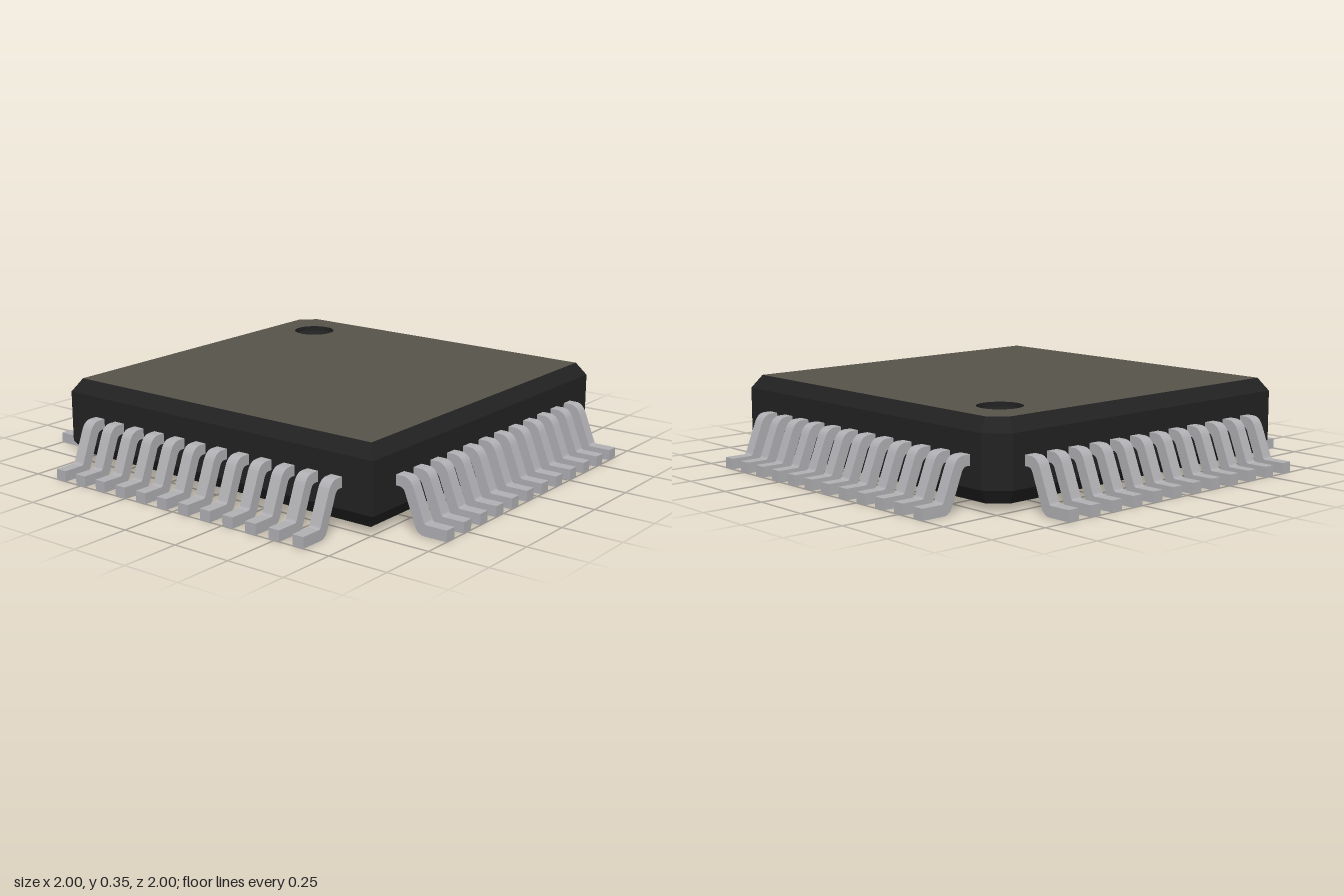
import * as THREE from 'three';

// Square outline with one cut corner at the back right; h = half width, c = where the cut starts
const ring = (h, c) => [[-h, h], [h, h], [h, -h], [-c, -h], [-h, -c]];

// Flat-shaded loft through stacked rings, closed at the bottom
function loft(levels) {
  const pos = [];
  const rings = levels.map(([y, h, c]) => ring(h, c).map(([x, z]) => [x, y, z]));
  const n = rings[0].length;
  for (let k = 0; k < rings.length - 1; k++) {
    for (let i = 0; i < n; i++) {
      const j = (i + 1) % n;
      const a = rings[k][i], b = rings[k][j], c = rings[k + 1][j], d = rings[k + 1][i];
      pos.push(...a, ...b, ...c, ...a, ...c, ...d);
    }
  }
  for (let i = 1; i < n - 1; i++) pos.push(...rings[0][0], ...rings[0][i + 1], ...rings[0][i]);
  const geo = new THREE.BufferGeometry();
  geo.setAttribute('position', new THREE.Float32BufferAttribute(pos, 3));
  geo.computeVertexNormals();
  return geo;
}

// Bent lead seen from the side, x pointing outward
function leadGeometry(width) {
  const s = new THREE.Shape();
  s.moveTo(0.765, 0.168);
  s.lineTo(0.79, 0.168);
  s.quadraticCurveTo(0.808, 0.168, 0.815, 0.15);
  s.lineTo(0.862, 0.03);
  s.quadraticCurveTo(0.874, 0, 0.905, 0);
  s.lineTo(1, 0);
  s.lineTo(1, 0.044);
  s.lineTo(0.912, 0.044);
  s.quadraticCurveTo(0.904, 0.044, 0.9, 0.054);
  s.lineTo(0.853, 0.172);
  s.quadraticCurveTo(0.838, 0.21, 0.805, 0.21);
  s.lineTo(0.765, 0.21);
  s.closePath();
  const geo = new THREE.ExtrudeGeometry(s, { depth: width, bevelEnabled: false, curveSegments: 6 });
  return geo.translate(0, 0, -width / 2);
}

export function createModel() {
  const model = new THREE.Group();
  model.name = 'chip';
  const black = new THREE.MeshStandardMaterial({ color: 0x222222, side: THREE.DoubleSide });
  black.name = 'black plastic';
  const grey = new THREE.MeshStandardMaterial({ color: 0x57534b });
  grey.name = 'warm grey top';
  const metal = new THREE.MeshStandardMaterial({ color: 0xb0b0b4 });
  metal.name = 'lead metal';

  const add = (name, geo, mat, parent = model) => {
    const mesh = new THREE.Mesh(geo, mat);
    mesh.name = name;
    parent.add(mesh);
    return mesh;
  };

  // Body with bevelled top and bottom edges
  const top = 0.35;
  add('body', loft([[0.03, 0.74, 0.677], [0.085, 0.775, 0.693], [0.295, 0.775, 0.693], [top, 0.74, 0.677]]), black);

  // Top face with a round opening for the marker
  const dot = { x: -0.537, z: -0.54, r: 0.09, depth: 0.02 };
  const face = new THREE.Shape(ring(0.74, 0.677).map(([x, z]) => new THREE.Vector2(x, -z)));
  face.holes.push(new THREE.Path().absarc(dot.x, -dot.z, dot.r, 0, Math.PI * 2, true));
  add('topFace', new THREE.ShapeGeometry(face, 16).rotateX(-Math.PI / 2), grey).position.y = top;

  // Sunken marker: wall and floor
  add('markerWall', new THREE.CylinderGeometry(dot.r, dot.r, dot.depth, 32, 1, true), black)
    .position.set(dot.x, top - dot.depth / 2, dot.z);
  add('markerFloor', new THREE.CircleGeometry(dot.r, 32).rotateX(-Math.PI / 2), black)
    .position.set(dot.x, top - dot.depth, dot.z);

  // Twelve leads on each of the four sides
  const leadGeo = leadGeometry(0.05);
  ['left', 'back', 'right', 'front'].forEach((side, k) => {
    const row = new THREE.Group();
    row.name = side + 'Leads';
    row.rotation.y = k * Math.PI / 2;
    for (let i = 0; i < 12; i++) add('lead', leadGeo, metal, row).position.z = (i - 5.5) * 0.111;
    model.add(row);
  });
  return model;
}
